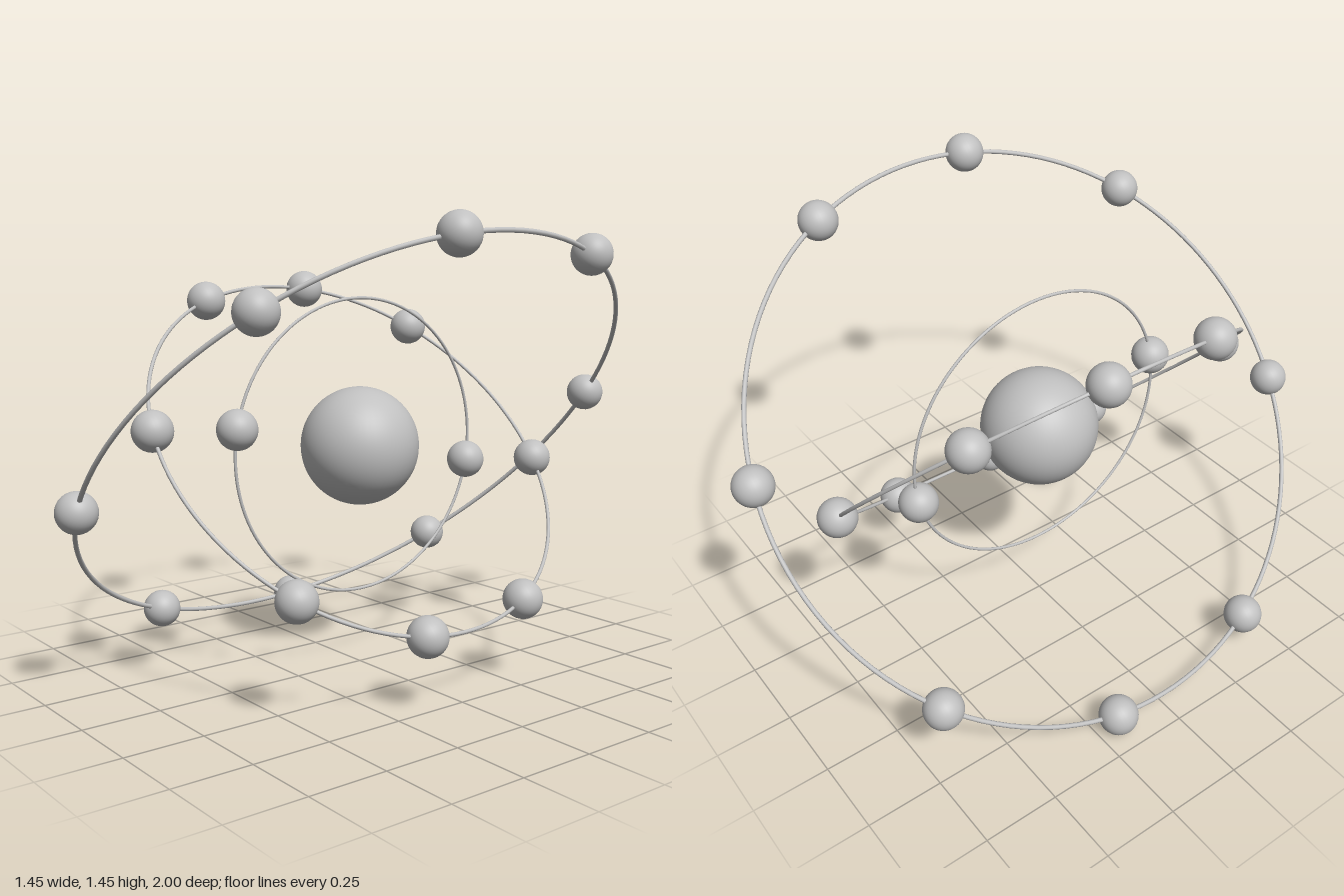
import * as THREE from 'three';

const CENTER_Y = 0.728;

// radius, wire thickness, tilt about z, electron angles for half the ring (degrees)
const SHELLS = [
  { name: 'innerShell', radius: 0.476, wire: 0.005, tilt: 0, angles: [10.8] },
  { name: 'middleShell', radius: 0.714, wire: 0.006, tilt: 45, angles: [10.8, 66, 101, 135] },
  { name: 'outerShell', radius: 0.952, wire: 0.0075, tilt: -45, angles: [-10.8, 43, 79, 115] },
];

export function createModel() {
  const model = new THREE.Group();
  model.name = 'atom';
  const grey = new THREE.MeshStandardMaterial({ color: 0xc0c0c0 });
  grey.name = 'grey';

  const add = (parent, name, geometry) => {
    const mesh = new THREE.Mesh(geometry, grey);
    mesh.name = name;
    parent.add(mesh);
    return mesh;
  };

  // Central ball
  add(model, 'nucleus', new THREE.SphereGeometry(0.192, 48, 32)).position.y = CENTER_Y;

  // Orbit rings, each lying in its tilted yz plane, with electrons in opposite pairs
  const electronGeometry = new THREE.SphereGeometry(0.0635, 32, 24);
  for (const { name, radius, wire, tilt, angles } of SHELLS) {
    const shell = new THREE.Group();
    shell.name = name;
    shell.position.y = CENTER_Y;
    shell.rotation.z = THREE.MathUtils.degToRad(tilt);
    add(shell, 'orbitRing', new THREE.TorusGeometry(radius, wire, 10, 128).rotateY(-Math.PI / 2));
    for (const angle of angles) {
      for (const turn of [0, 180]) {
        const a = THREE.MathUtils.degToRad(angle + turn);
        add(shell, 'electron', electronGeometry)
          .position.set(0, radius * Math.sin(a), radius * Math.cos(a));
      }
    }
    model.add(shell);
  }
  return model;
}
